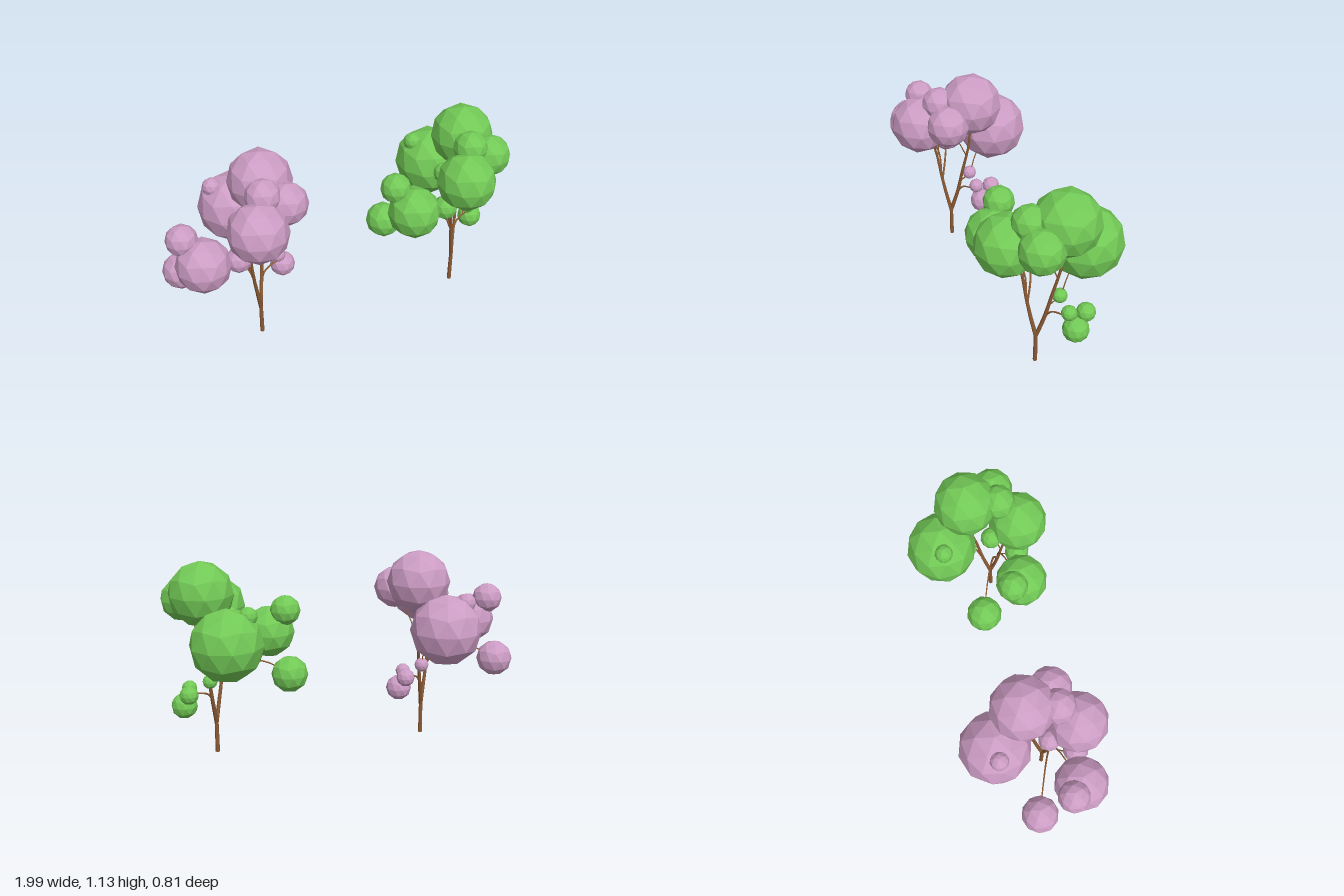
import * as THREE from 'three';

// Foliage balls: x, y, z (x measured from the trunk), radius
const BALLS = {
  crown: [0.07, 0.95, -0.035, 0.178],
  back: [-0.035, 0.705, -0.21, 0.2],
  front: [-0.04, 0.82, 0.238, 0.167],
  side: [-0.33, 0.66, 0.185, 0.149],
  lowSide: [-0.4, 0.472, -0.055, 0.103],
  highSide: [-0.413, 0.795, 0.112, 0.087],
  shoulder: [0.153, 0.888, 0.138, 0.121],
  top: [0.025, 0.968, 0.142, 0.098],
  underSide: [-0.145, 0.655, 0.207, 0.07],
  inner: [-0.09, 0.79, 0.07, 0.06],
  backBud: [-0.15, 0.855, -0.215, 0.052],
  low: [0.185, 0.34, -0.055, 0.072],
  lowBack: [0.165, 0.417, -0.12, 0.052],
  lowFront: [0.152, 0.43, -0.03, 0.042],
  single: [0.04, 0.457, -0.032, 0.041],
};

// Tube along the points whose rings shrink evenly from r0 to r1
function taperedTube(points, r0, r1) {
  const curve = new THREE.CatmullRomCurve3(points.map((p) => new THREE.Vector3(...p)));
  const segments = points.length * 3, sides = 6;
  const geo = new THREE.TubeGeometry(curve, segments, r0, sides);
  const pos = geo.attributes.position, v = new THREE.Vector3();
  for (let i = 0; i < pos.count; i++) {
    const t = Math.floor(i / (sides + 1)) / segments;
    const centre = curve.getPointAt(t);
    v.fromBufferAttribute(pos, i).sub(centre).multiplyScalar(THREE.MathUtils.lerp(1, r1 / r0, t)).add(centre);
    pos.setXYZ(i, v.x, v.y, v.z);
  }
  return geo;
}

function makeTree(name, leafColor) {
  const tree = new THREE.Group();
  tree.name = name;
  const leaf = new THREE.MeshStandardMaterial({ color: leafColor, flatShading: true });
  const bark = new THREE.MeshStandardMaterial({ color: 0x8a5a34, flatShading: true });
  const add = (geo, mat, part) => {
    const mesh = new THREE.Mesh(geo, mat);
    mesh.name = part;
    tree.add(mesh);
    return mesh;
  };
  // A branch runs through its points and ends inside the named ball
  const branch = (ball, r0, r1, ...points) =>
    add(taperedTube([...points, BALLS[ball].slice(0, 3)], r0, r1), bark, `${ball}Branch`);

  // Trunk
  add(new THREE.CylinderGeometry(0.011, 0.0125, 0.2, 8), bark, 'trunk').position.set(0, 0.1, 0.078);

  // Two main limbs forking from the trunk
  const fork = [0, 0.18, 0.078];
  branch('front', 0.012, 0.004, fork, [-0.022, 0.3, 0.1], [-0.042, 0.42, 0.118], [-0.06, 0.62, 0.15]);
  branch('crown', 0.012, 0.004, fork, [0.022, 0.32, 0.042], [0.042, 0.48, 0.014], [0.06, 0.68, -0.025]);

  // Arching side branches
  branch('lowSide', 0.007, 0.003, [-0.036, 0.4, 0.115], [-0.07, 0.49, 0.085], [-0.15, 0.535, 0.045], [-0.27, 0.54, -0.005]);
  branch('side', 0.006, 0.003, [-0.044, 0.44, 0.12], [-0.075, 0.54, 0.112], [-0.12, 0.61, 0.125]);
  branch('low', 0.006, 0.003, [0.022, 0.32, 0.042], [0.045, 0.365, 0.02], [0.09, 0.385, -0.005], [0.15, 0.385, -0.03]);
  branch('back', 0.004, 0.002, [0.032, 0.4, 0.028], [0.04, 0.457, -0.032], [0.035, 0.57, -0.075]);

  // Twigs to the smaller balls
  branch('underSide', 0.004, 0.002, [-0.11, 0.6, 0.122], [-0.13, 0.63, 0.15]);
  branch('highSide', 0.004, 0.002, [-0.32, 0.66, 0.18], [-0.37, 0.73, 0.14]);
  branch('inner', 0.004, 0.002, [-0.055, 0.53, 0.135], [-0.075, 0.65, 0.115]);
  branch('top', 0.004, 0.002, [-0.058, 0.58, 0.144], [-0.03, 0.75, 0.15]);
  branch('shoulder', 0.004, 0.002, [0.052, 0.6, -0.005], [0.09, 0.72, 0.05]);
  branch('lowBack', 0.003, 0.002, [0.11, 0.386, -0.012], [0.14, 0.4, -0.06]);

  // Faceted foliage with a vertex pointing up
  const ballGeo = new THREE.IcosahedronGeometry(1, 1);
  ballGeo.rotateZ(-Math.atan(2 / (1 + Math.sqrt(5))));
  for (const [part, [x, y, z, r]] of Object.entries(BALLS)) {
    const mesh = add(ballGeo, leaf, `${part}Foliage`);
    mesh.position.set(x, y, z);
    mesh.scale.setScalar(r);
  }
  return tree;
}

export function createModel() {
  const model = new THREE.Group();
  model.name = 'trees';
  const pink = makeTree('pinkTree', 0xcc9cc4);
  pink.position.x = -0.5;
  const green = makeTree('greenTree', 0x72c956);
  green.position.x = 0.72;
  model.add(pink, green);
  return model;
}
